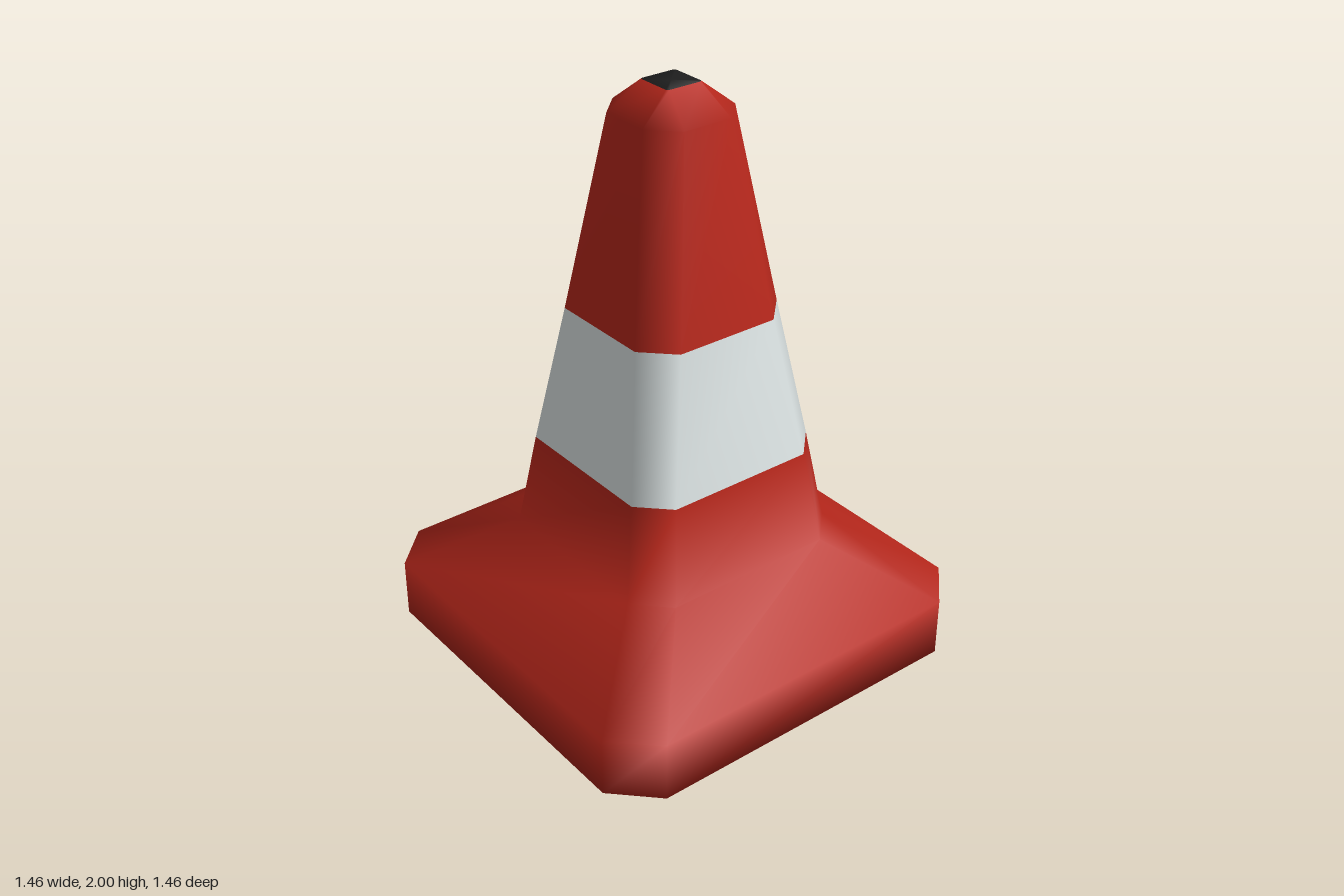
import * as THREE from 'three';

const red = new THREE.MeshStandardMaterial({ color: 0xba281c });
red.name = 'coneRed';
const white = new THREE.MeshStandardMaterial({ color: 0xe4ecec });
white.name = 'bandWhite';
const black = new THREE.MeshStandardMaterial({ color: 0x1e1e1e });
black.name = 'openingBlack';

// Cross-sections from the underside centre, round the rim, to the top:
// [half width, half length of the straight side, height]
const RINGS = [
  [0, 0, 0],
  [0.42, 0.31, 0],
  [0.73, 0.588, 0],
  [0.73, 0.588, 0.21],
  [0.42, 0.31, 0.42],
  [0.367, 0.267, 0.75],
  [0.287, 0.187, 1.243],
  [0.178, 0.09, 1.91],
  [0.067, 0.06, 2],
  [0, 0, 2],
];

// Parts as spans of consecutive rings
const PARTS = [
  ['undersideOpening', 0, 1, black],
  ['base', 1, 4, red],
  ['lowerCone', 4, 5, red],
  ['reflectiveBand', 5, 6, white],
  ['upperCone', 6, 8, red],
  ['topOpening', 8, 9, black],
];

// Square with cut corners
function corners(w, s, y) {
  return [[w, -s], [w, s], [s, w], [-s, w], [-w, s], [-w, -s], [-s, -w], [s, -w]]
    .flatMap(([x, z]) => [x, y, z]);
}

// Faces joining the rings of one span
function spanIndex(from, to) {
  const index = [];
  for (let r = from; r < to; r++) {
    for (let i = 0; i < 8; i++) {
      const j = (i + 1) % 8;
      const a = r * 8 + i, b = r * 8 + j, c = a + 8, d = b + 8;
      index.push(a, c, b, b, c, d);
    }
  }
  return index;
}

export function createModel() {
  const group = new THREE.Group();
  group.name = 'trafficCone';

  // Whole shell, so that shading runs smoothly across the colour borders
  const shell = new THREE.BufferGeometry();
  const points = RINGS.flatMap(([w, s, y]) => corners(w, s, y));
  shell.setAttribute('position', new THREE.Float32BufferAttribute(points, 3));
  shell.setIndex(spanIndex(0, RINGS.length - 1));
  shell.computeVertexNormals();

  for (const [name, from, to, material] of PARTS) {
    const geometry = shell.clone();
    geometry.setIndex(spanIndex(from, to));
    const mesh = new THREE.Mesh(geometry, material);
    mesh.name = name;
    group.add(mesh);
  }
  return group;
}
